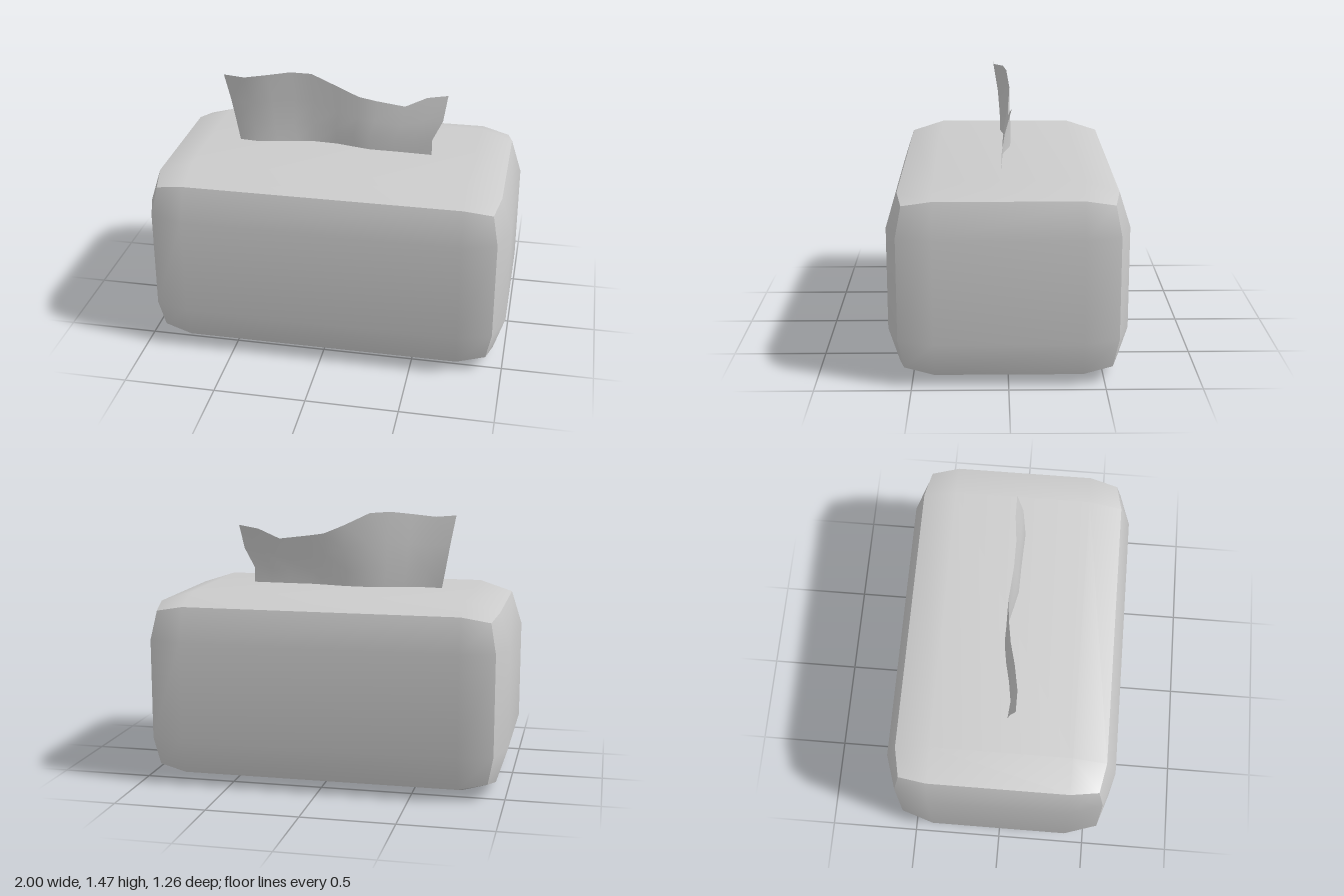
import * as THREE from 'three';

const material = new THREE.MeshStandardMaterial({ color: 0xcccccc });
const sheetMaterial = new THREE.MeshStandardMaterial({ color: 0xcccccc, side: THREE.DoubleSide });

// Carton: 3x3 grid per side, with edges and corners pulled inwards
function createCarton() {
  const half = [1, 0.5225, 0.63];
  const inner = [0.755, 0.275, 0.385];
  const inset = [0, 0, 0.06, 0.09]; // by how many axes are at their limit
  const geometry = new THREE.BoxGeometry(2, 2, 2, 3, 3, 3);
  const position = geometry.attributes.position;
  for (let i = 0; i < position.count; i++) {
    const p = [position.getX(i), position.getY(i), position.getZ(i)];
    const outer = p.map((v) => Math.abs(v) > 0.9);
    const pull = inset[outer.filter(Boolean).length];
    position.setXYZ(i, ...p.map((v, a) => Math.sign(v) * (outer[a] ? half[a] - pull : inner[a])));
  }
  geometry.computeVertexNormals(); // smooth within a side, sharp between sides
  const mesh = new THREE.Mesh(geometry, material);
  mesh.name = 'carton';
  mesh.position.y = half[1];
  return mesh;
}

// Tissue: wavy sheet blended between a bottom and a top edge
function createTissue() {
  const top = [
    [-0.645, 1.45, 0.07], [-0.53, 1.44, 0.07], [-0.4, 1.455, 0.046], [-0.28, 1.468, 0.015],
    [-0.165, 1.46, -0.003], [-0.02, 1.39, -0.018], [0.1, 1.34, -0.012], [0.2, 1.325, -0.006],
    [0.36, 1.305, -0.006], [0.48, 1.36, -0.02], [0.595, 1.38, -0.02],
  ];
  const bottomZ = [0.02, 0.03, 0.012, -0.012, -0.028, -0.02, 0.005, 0.024, 0.026, 0.03, 0.034];
  // Rows: height fraction, left end x, right end x, blend of z towards the top edge
  const rows = [
    [0, -0.575, 0.52, 0], [0.27, -0.595, 0.52, 0.06], [0.6, -0.617, 0.575, 0.33], [1, -0.645, 0.595, 1],
  ];
  const baseY = 1.04;
  const columns = top.length - 1;
  const geometry = new THREE.PlaneGeometry(1, 1, columns, rows.length - 1);
  rows.forEach(([t, left, right, blend], r) => {
    top.forEach(([x, y, z], c) => {
      const u = (x - top[0][0]) / (top[columns][0] - top[0][0]);
      geometry.attributes.position.setXYZ(
        (rows.length - 1 - r) * (columns + 1) + c,
        THREE.MathUtils.lerp(left, right, u),
        THREE.MathUtils.lerp(baseY, y, t),
        THREE.MathUtils.lerp(bottomZ[c], z, blend),
      );
    });
  });
  geometry.computeVertexNormals();
  const mesh = new THREE.Mesh(geometry, sheetMaterial);
  mesh.name = 'tissue';
  return mesh;
}

export function createModel() {
  const model = new THREE.Group();
  model.name = 'tissueBox';
  model.add(createCarton(), createTissue());
  return model;
}
